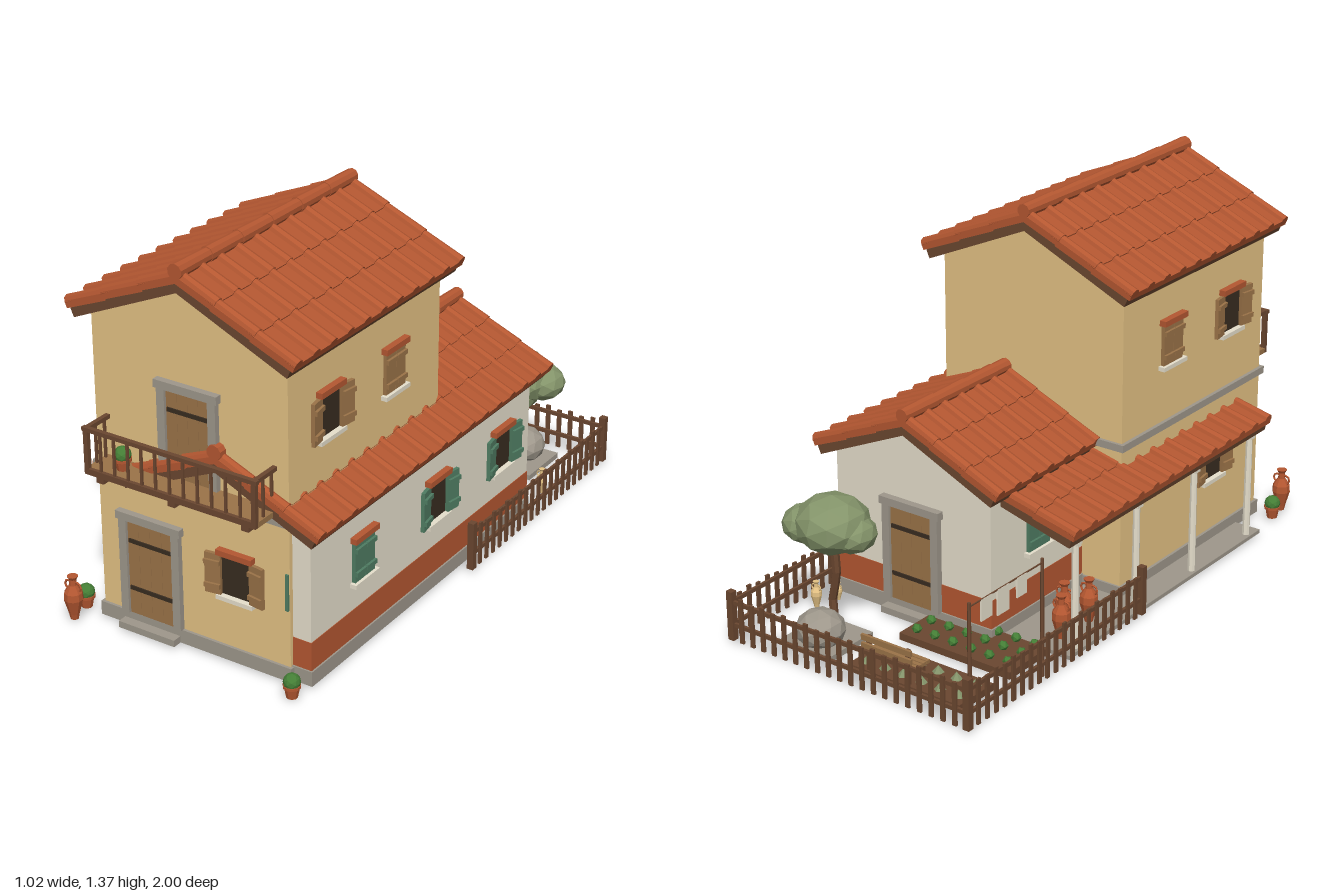
import * as THREE from 'three';

const mat = (name, color) => {
  const m = new THREE.MeshStandardMaterial({ color });
  m.name = name;
  return m;
};
const M = {
  ochre: mat('ochre plaster', 0xe4c284),
  white: mat('white plaster', 0xe6dfcc),
  tile: mat('terracotta', 0xb45731),
  plank: mat('plank wood', 0x9b7348),
  wood: mat('dark wood', 0x6b4730),
  dark: mat('dark opening', 0x382c20),
  stone: mat('stone', 0x9e978b),
  shutter: mat('green paint', 0x4f7c62),
  leaf: mat('olive leaf', 0x84946a),
  plant: mat('plant green', 0x457f36),
};

// Adds a faceted mesh to a parent
function add(parent, name, geo, material, x = 0, y = 0, z = 0) {
  const g = geo.index ? geo.toNonIndexed() : geo;
  g.computeVertexNormals();
  const mesh = new THREE.Mesh(g, material);
  mesh.name = name;
  mesh.position.set(x, y, z);
  parent.add(mesh);
  return mesh;
}
// Box given by its limits
function box(parent, name, material, x0, x1, y0, y1, z0, z1) {
  return add(parent, name, new THREE.BoxGeometry(x1 - x0, y1 - y0, z1 - z0), material,
    (x0 + x1) / 2, (y0 + y1) / 2, (z0 + z1) / 2);
}
function group(parent, name, x = 0, y = 0, z = 0, ry = 0) {
  const g = new THREE.Group();
  g.name = name;
  g.position.set(x, y, z);
  g.rotation.y = ry;
  parent.add(g);
  return g;
}
const lathe = (pts, n = 10) => new THREE.LatheGeometry(pts.map(p => new THREE.Vector2(...p)), n);

// Gabled wall block
function gable(parent, name, material, x0, x1, y0, eave, apex, z0, z1) {
  const s = new THREE.Shape();
  s.moveTo(x0, y0).lineTo(x1, y0).lineTo(x1, eave).lineTo((x0 + x1) / 2, apex).lineTo(x0, eave);
  add(parent, name, new THREE.ExtrudeGeometry(s, { depth: z1 - z0, bevelEnabled: false }), material, 0, 0, z0);
}

// One tiled slope running down from (x, y); side +1 falls to +x, -1 to -x
function slope(parent, name, x, y, run, drop, z0, z1, side) {
  const outer = group(parent, name, x, y, (z0 + z1) / 2, side > 0 ? 0 : Math.PI);
  const s = group(outer, 'slope');
  s.rotation.z = -Math.atan2(drop, run);
  const L = Math.hypot(run, drop), W = z1 - z0, rows = Math.max(2, Math.round(L / 0.15)), len = L / rows;
  box(s, 'roofBoards', M.wood, 0, L - 0.006, -0.064, -0.032, -W / 2 + 0.004, W / 2 - 0.004);
  for (let i = 0; i < rows; i++) {
    const pan = add(s, 'panTiles', new THREE.BoxGeometry(len + 0.008, 0.024, W), M.tile, (i + 0.5) * len, -0.021, 0);
    pan.rotation.z = 0.03;
  }
  const n = Math.round(W / 0.094);
  for (let k = 0; k <= n; k++) {
    const z = -W / 2 + 0.02 + (W - 0.04) * k / n;
    for (let i = 0; i < rows; i++) {
      const g = new THREE.CylinderGeometry(0.021, 0.017, len + 0.008, 8).rotateZ(-Math.PI / 2);
      add(s, 'coverTile', g, M.tile, (i + 0.5) * len, -0.011, z);
    }
  }
}
function ridge(parent, x, y, z0, z1) {
  const n = Math.round((z1 - z0) / 0.16), len = (z1 - z0) / n;
  for (let i = 0; i < n; i++) {
    const g = new THREE.CylinderGeometry(0.027, 0.024, len, 10).rotateX(Math.PI / 2);
    add(parent, 'ridgeTile', g, M.tile, x, y, z0 + (i + 0.5) * len);
  }
}

// Window facing +z, centred on its opening
function windowUnit(parent, x, y, z, ry, open, paint) {
  const w = group(parent, 'window', x, y, z, ry);
  box(w, 'lintel', M.tile, -0.068, 0.068, 0.072, 0.092, -0.01, 0.024);
  box(w, 'sill', M.white, -0.07, 0.07, -0.088, -0.073, -0.01, 0.024);
  if (open) box(w, 'opening', M.dark, -0.058, 0.058, -0.073, 0.072, -0.004, 0.004);
  for (const s of [-1, 1]) {
    const h = group(w, 'shutter', open ? s * 0.056 : 0, 0, open ? 0.004 : 0);
    h.rotation.y = open ? -s * 0.15 : 0;
    const a = s > 0 ? 0.001 : -0.057, b = s > 0 ? 0.057 : -0.001;
    box(h, 'shutterPanel', paint, a, b, -0.073, 0.072, 0, 0.013);
    for (const yy of [-0.042, 0.042])
      box(h, 'shutterBatten', paint, a, b, yy - 0.008, yy + 0.008, 0.012, 0.022);
  }
}
// Door facing +z, standing on its threshold
function door(parent, x, y, z, ry, w, h) {
  const d = group(parent, 'door', x, y, z, ry);
  for (let i = 0; i < 4; i++)
    box(d, 'doorPlank', M.plank, -w / 2 + i * w / 4 + 0.0005, -w / 2 + (i + 1) * w / 4 - 0.0005, 0, h, -0.01, 0.01);
  box(d, 'doorGap', M.plank, -w / 2, w / 2, 0, h, -0.01, 0.006);
  for (const f of [0.28, 0.785])
    box(d, 'doorBand', M.dark, -w / 2 + 0.006, w / 2 - 0.006, h * f - 0.007, h * f + 0.007, 0.008, 0.015);
  for (const s of [-1, 1])
    box(d, 'doorJamb', M.stone, s * (w / 2 + 0.015) - 0.015, s * (w / 2 + 0.015) + 0.015, 0, h, -0.01, 0.02);
  box(d, 'doorLintel', M.stone, -w / 2 - 0.038, w / 2 + 0.038, h, h + 0.028, -0.01, 0.024);
}

function pottedPlant(parent, x, y, z) {
  const p = group(parent, 'pottedPlant', x, y, z);
  add(p, 'pot', lathe([[0, 0], [0.019, 0], [0.026, 0.036], [0.03, 0.036], [0.03, 0.045], [0, 0.045]]), M.tile);
  add(p, 'foliage', new THREE.IcosahedronGeometry(0.029, 1), M.plant, 0, 0.056, 0);
}
function amphora(parent, x, y, z, k = 1, material = M.tile) {
  const a = group(parent, 'amphora', x, y, z);
  a.scale.setScalar(k);
  add(a, 'jar', lathe([[0, 0], [0.014, 0], [0.018, 0.02], [0.033, 0.075], [0.031, 0.1], [0.013, 0.127],
    [0.012, 0.148], [0.019, 0.16], [0, 0.16]]), material);
  for (const s of [-1, 1])
    add(a, 'handle', new THREE.TorusGeometry(0.016, 0.004, 5, 8), material, s * 0.017, 0.123, 0);
}
// Picket fence between two ground points
function fence(parent, x0, z0, x1, z1) {
  const L = Math.hypot(x1 - x0, z1 - z0), n = Math.round(L / 0.046);
  const f = group(parent, 'fence', x0, 0, z0, Math.atan2(z0 - z1, x1 - x0));
  for (const y of [0.068, 0.15]) box(f, 'fenceRail', M.wood, 0, L, y - 0.007, y + 0.007, -0.005, 0.005);
  for (let i = 0; i <= n; i++) {
    const end = i === 0 || i === n, r = end ? 0.012 : 0.008, x = L * i / n;
    box(f, 'picket', M.wood, x - r, x + r, 0.012, end ? 0.19 : 0.165 + 0.008 * (i % 2), end ? -r : 0.002, end ? r : 0.01);
  }
}

export function createModel() {
  const root = new THREE.Group();
  root.name = 'farmhouse';
  const H = Math.PI / 2;

  // Tower
  const tower = group(root, 'tower');
  gable(tower, 'towerWalls', M.ochre, -0.37, 0.372, 0.02, 1.112, 1.28, 0.01, 0.88);
  box(tower, 'towerBase', M.stone, -0.38, 0.38, 0.01, 0.06, 0.002, 0.89);
  box(tower, 'ledge', M.stone, -0.383, 0.383, 0.562, 0.588, -0.002, 0.893);
  for (const s of [-1, 1]) slope(tower, 'towerRoof', 0, 1.342, 0.433, 0.192, -0.04, 0.93, s);
  ridge(tower, 0, 1.342, -0.04, 0.93);
  door(tower, -0.165, 0.06, 0.88, 0, 0.18, 0.346);
  box(tower, 'doorStep', M.stone, -0.28, -0.055, 0.01, 0.034, 0.88, 0.925);
  door(tower, 0.002, 0.6, 0.88, 0, 0.165, 0.32);
  windowUnit(tower, 0.172, 0.322, 0.88, 0, true, M.plank);
  for (const s of [-1, 1]) {
    windowUnit(tower, s * 0.371, 0.87, 0.662, s * H, true, M.plank);
    windowUnit(tower, s * 0.371, 0.87, 0.292, s * H, false, M.plank);
  }
  windowUnit(tower, -0.37, 0.34, 0.57, -H, true, M.plank);

  // Balcony
  const balcony = group(root, 'balcony');
  box(balcony, 'balconyFloor', M.plank, -0.33, 0.33, 0.597, 0.616, 0.88, 0.985);
  box(balcony, 'balconyEdge', M.wood, -0.33, 0.33, 0.597, 0.618, 0.985, 0.998);
  for (const x of [-0.28, 0, 0.28]) box(balcony, 'bracket', M.wood, x - 0.014, x + 0.014, 0.57, 0.597, 0.88, 0.985);
  box(balcony, 'handRail', M.wood, -0.335, 0.335, 0.748, 0.762, 0.982, 0.998);
  for (let i = 0; i <= 12; i++) {
    const x = -0.322 + 0.644 * i / 12, r = i % 12 ? 0.004 : 0.008;
    box(balcony, 'baluster', M.wood, x - r, x + r, 0.616, 0.75, 0.99 - r, 0.99 + r);
  }
  for (const s of [-1, 1]) {
    box(balcony, 'sideRail', M.wood, s * 0.322 - 0.008, s * 0.322 + 0.008, 0.748, 0.762, 0.88, 0.99);
    for (const z of [0.9, 0.945])
      box(balcony, 'baluster', M.wood, s * 0.322 - 0.004, s * 0.322 + 0.004, 0.616, 0.75, z - 0.004, z + 0.004);
  }
  pottedPlant(balcony, -0.225, 0.612, 0.935);

  // Long wing
  const wing = group(root, 'wing');
  gable(wing, 'wingWalls', M.white, -0.21, 0.44, 0.16, 0.55, 0.7, -0.5, 0.865);
  box(wing, 'paintedBand', M.tile, -0.212, 0.442, 0.05, 0.165, -0.502, 0.867);
  box(wing, 'wingBase', M.stone, -0.218, 0.448, 0.01, 0.063, -0.508, 0.873);
  for (const s of [-1, 1]) slope(wing, 'wingRoof', 0.113, 0.758, 0.389, 0.173, -0.55, 0.91, s);
  ridge(wing, 0.113, 0.758, -0.55, 0.91);
  windowUnit(wing, 0.44, 0.342, 0.575, H, false, M.shutter);
  windowUnit(wing, 0.44, 0.342, 0.126, H, true, M.shutter);
  windowUnit(wing, 0.44, 0.342, -0.302, H, true, M.shutter);
  windowUnit(wing, -0.21, 0.342, -0.25, -H, false, M.shutter);
  box(wing, 'frontShutterEdge', M.shutter, 0.358, 0.369, 0.265, 0.395, 0.865, 0.887);
  door(wing, 0.113, 0.06, -0.503, Math.PI, 0.175, 0.346);
  box(wing, 'backStep', M.stone, 0.0, 0.226, 0.01, 0.034, -0.545, -0.5);

  // Side porch
  const porch = group(root, 'porch');
  slope(porch, 'porchRoof', -0.2, 0.555, 0.305, 0.08, -0.45, 0.75, -1);
  box(porch, 'porchFloor', M.stone, -0.483, -0.2, 0.01, 0.024, -0.44, 0.74);
  box(porch, 'porchBeam', M.wood, -0.475, -0.447, 0.412, 0.432, -0.43, 0.73);
  for (const z of [-0.38, -0.03, 0.32, 0.68]) {
    add(porch, 'porchPost', new THREE.CylinderGeometry(0.012, 0.014, 0.41, 8), M.white, -0.461, 0.217, z);
    box(porch, 'postCap', M.white, -0.477, -0.445, 0.4, 0.413, z - 0.016, z + 0.016);
  }
  for (const [x, z] of [[-0.385, -0.35], [-0.39, -0.2], [-0.34, -0.27]]) amphora(porch, x, 0.02, z);
  amphora(root, -0.438, 0.01, 0.96);
  pottedPlant(root, -0.45, 0.012, 0.88);
  pottedPlant(root, 0.424, 0.008, 0.95);

  // Yard fence
  fence(root, 0.492, -0.035, 0.492, -0.985);
  fence(root, 0.492, -0.985, -0.49, -0.985);
  fence(root, -0.49, -0.985, -0.49, -0.035);

  // Vegetable beds, cabbages in the far one and bushes in the near one
  const beds = group(root, 'vegetableBeds');
  box(beds, 'soilBed', M.wood, -0.405, 0.05, 0.01, 0.036, -0.92, -0.745);
  box(beds, 'soilBed', M.wood, -0.405, 0.05, 0.01, 0.036, -0.66, -0.455);
  for (let i = 0; i < 6; i++) {
    const x = -0.368 + i * 0.075;
    for (const z of [-0.875, -0.79]) add(beds, 'cabbage', new THREE.ConeGeometry(0.021, 0.026, 6), M.leaf, x, 0.048, z);
    for (const z of [-0.62, -0.545, -0.475]) add(beds, 'bush', new THREE.IcosahedronGeometry(0.018, 0), M.plant, x, 0.048, z);
  }

  // Slatted bench
  const bench = group(root, 'bench');
  for (let i = 0; i < 4; i++) box(bench, 'seatSlat', M.plank, -0.215, -0.012, 0.085, 0.097, -0.9 + i * 0.019, -0.885 + i * 0.019);
  for (const y of [0.115, 0.145]) box(bench, 'backSlat', M.plank, -0.215, -0.012, y, y + 0.02, -0.925, -0.915);
  for (const x of [-0.2, -0.04]) {
    box(bench, 'rearLeg', M.wood, x, x + 0.015, 0.012, 0.16, -0.915, -0.903);
    box(bench, 'frontLeg', M.wood, x, x + 0.015, 0.012, 0.085, -0.845, -0.832);
  }

  // Domed boulder on a paved square
  box(root, 'paving', M.stone, 0.13, 0.345, 0.01, 0.03, -0.915, -0.7);
  const dome = add(root, 'boulder', new THREE.IcosahedronGeometry(0.085, 1), M.stone, 0.235, 0.07, -0.84);
  dome.scale.y = 0.82;

  // Tree
  const tree = group(root, 'tree', 0.265, 0, -0.73);
  const path = new THREE.CatmullRomCurve3([[0, 0.01, 0], [0.015, 0.12, 0.005], [-0.01, 0.22, 0], [0, 0.34, 0]]
    .map(p => new THREE.Vector3(...p)));
  add(tree, 'trunk', new THREE.TubeGeometry(path, 6, 0.015, 7), M.wood);
  for (const [x, y, z, r] of [[0, 0.402, 0, 0.13], [-0.07, 0.38, 0.015, 0.085], [0.085, 0.39, -0.03, 0.085], [0.015, 0.355, 0.03, 0.085]]) {
    const crown = add(tree, 'crown', new THREE.IcosahedronGeometry(r, 1), M.leaf, x, y, z);
    crown.scale.y = 0.78;
  }
  amphora(root, 0.425, 0.01, -0.645, 0.6, M.ochre);
  amphora(root, 0.4, 0.01, -0.56, 0.4, M.ochre);

  // Washing line
  const line = group(root, 'washingLine');
  for (const z of [-0.955, -0.58])
    add(line, 'linePole', new THREE.CylinderGeometry(0.006, 0.008, 0.42, 6), M.wood, -0.475, 0.222, z);
  box(line, 'cord', M.wood, -0.477, -0.473, 0.415, 0.419, -0.955, -0.58);
  for (const [z, w, h] of [[-0.87, 0.055, 0.075], [-0.785, 0.06, 0.09], [-0.69, 0.05, 0.07]])
    box(line, 'cloth', M.white, -0.478, -0.472, 0.418 - h, 0.418, z - w / 2, z + w / 2);
  return root;
}
